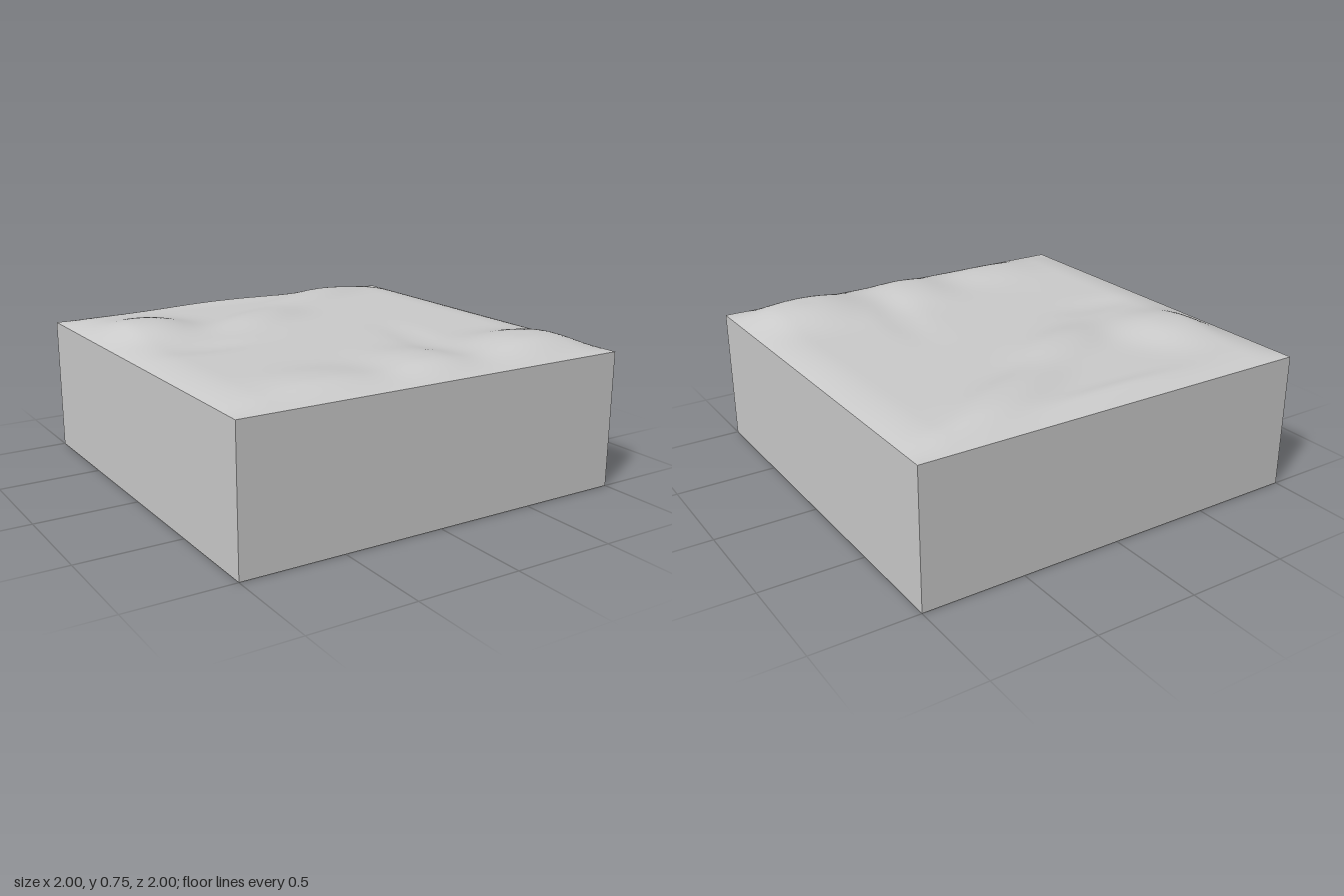
import * as THREE from 'three';

const WALL = 0.667; // height of the straight sides
const SEGMENTS = 80;

// Soft mounds: x, z, radius along, radius across, rotation, height
const MOUNDS = [
  [0.65, 0.74, 0.28, 0.24, 0, 0.052], // front left knoll
  [-0.72, -0.45, 0.22, 0.24, 0, 0.051], // back right knoll
  [-0.15, -0.36, 0.30, 0.15, -0.45, 0.032], // diagonal ridge
  [0.40, -0.72, 0.40, 0.14, -0.45, 0.036],
  [0.05, 0.78, 0.20, 0.26, 0, 0.034], // low front swells
  [-0.50, 0.80, 0.26, 0.20, 0, 0.022],
  [-0.05, -0.92, 0.40, 0.07, 0, 0.022], // back rim
  [0.30, 0.40, 0.10, 0.30, 0.2, -0.010], // gully beside the knoll
  [-0.62, 0.02, 0.20, 0.09, 0, -0.010] // hollow below the back knoll
];

// Ground falls to the wall top along every edge
function edgeFade(d) {
  const t = Math.min(1, (1 - Math.abs(d)) / 0.19);
  return 1 - (1 - t) ** 2;
}

function groundHeight(x, z) {
  let h = 0.029;
  for (const [cx, cz, rx, rz, turn, height] of MOUNDS) {
    const c = Math.cos(turn), s = Math.sin(turn);
    const u = ((x - cx) * c + (z - cz) * s) / rx;
    const v = ((z - cz) * c - (x - cx) * s) / rz;
    h += height * Math.exp(-((u * u + v * v) ** 1.25));
  }
  h += 0.002 * Math.sin(5 * x + 3 * z) * Math.sin(6 * z - 2 * x);
  return WALL + Math.min(h, 0.08) * edgeFade(x) * edgeFade(z);
}

export function createModel() {
  const model = new THREE.Group();
  model.name = 'terrainBlock';
  const material = new THREE.MeshStandardMaterial({ color: 0xcccccc });

  // Straight-sided block, open where the ground surface covers it
  const blockGeometry = new THREE.BoxGeometry(2, WALL, 2).translate(0, WALL / 2, 0);
  const faces = Array.from(blockGeometry.index.array);
  faces.splice(12, 6);
  blockGeometry.setIndex(faces);
  blockGeometry.clearGroups();
  const block = new THREE.Mesh(blockGeometry, material);
  block.name = 'block';

  // Rolling ground surface
  const groundGeometry = new THREE.PlaneGeometry(2, 2, SEGMENTS, SEGMENTS).rotateX(-Math.PI / 2);
  const position = groundGeometry.attributes.position;
  for (let i = 0; i < position.count; i++) {
    position.setY(i, groundHeight(position.getX(i), position.getZ(i)));
  }
  groundGeometry.computeVertexNormals();
  const ground = new THREE.Mesh(groundGeometry, material);
  ground.name = 'ground';

  model.add(block, ground);
  return model;
}
